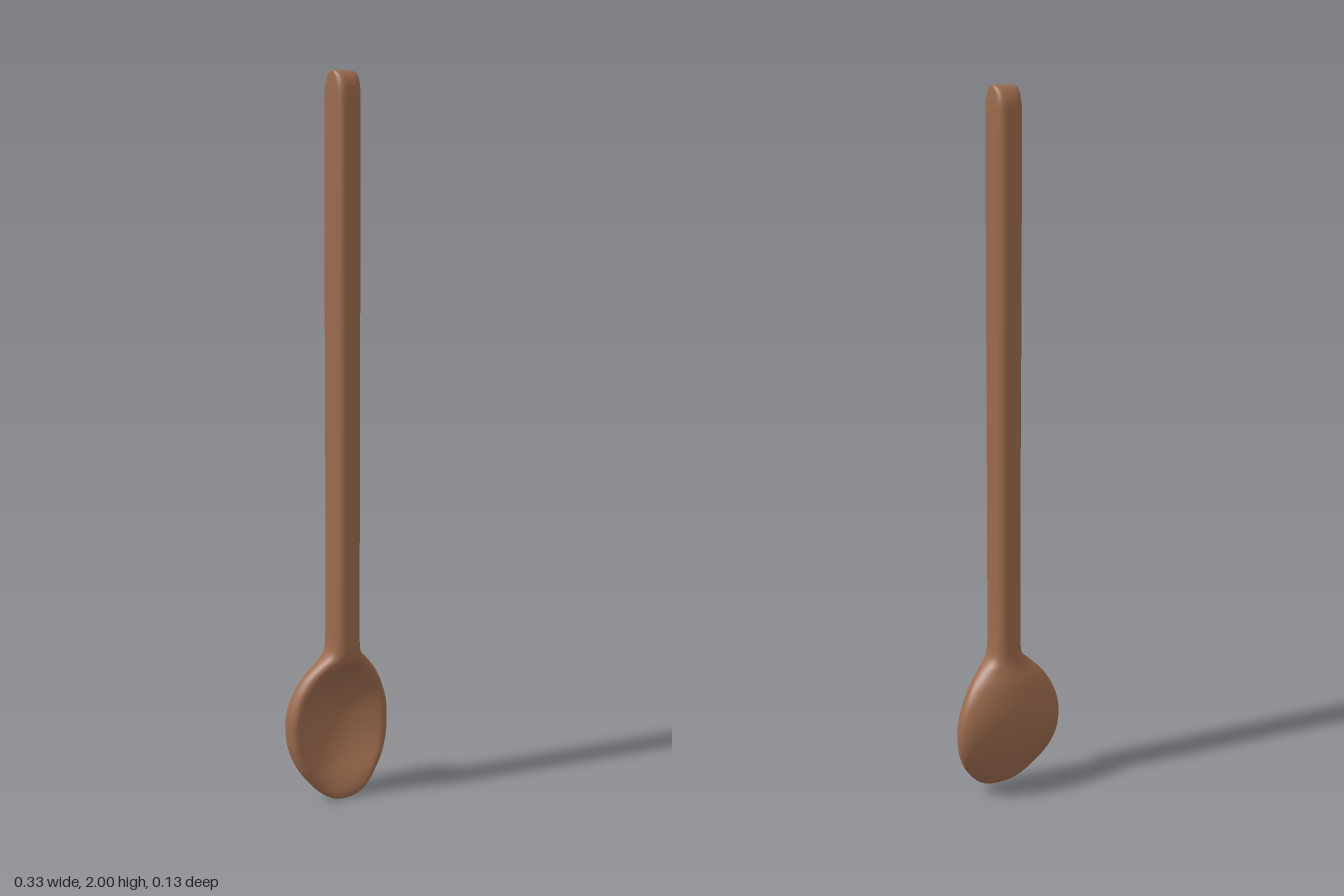
import * as THREE from 'three';

// Cross-section stations from tip to handle end:
// [y, half width, back z, front z, hollow depth, squareness]
const STATIONS = [
  [0.0, 0.022, 0.036, 0.043, 0, 2],
  [0.008, 0.05, 0.024, 0.047, 0.001, 2],
  [0.025, 0.078, 0.01, 0.049, 0.007, 2],
  [0.055, 0.108, -0.009, 0.046, 0.02, 2],
  [0.1, 0.14, -0.033, 0.038, 0.04, 2.1],
  [0.15, 0.159, -0.053, 0.032, 0.054, 2.2],
  [0.2, 0.165, -0.064, 0.03, 0.062, 2.2],
  [0.25, 0.162, -0.067, 0.03, 0.063, 2.2],
  [0.3, 0.147, -0.062, 0.031, 0.05, 2.1],
  [0.35, 0.119, -0.052, 0.042, 0.026, 2],
  [0.39, 0.082, -0.039, 0.058, 0.004, 2],
  [0.42, 0.052, -0.032, 0.065, 0, 2.3],
  [0.46, 0.042, -0.03, 0.066, 0, 2.8],
  [0.54, 0.039, -0.029, 0.066, 0, 3.3],
  [0.7, 0.038, -0.029, 0.066, 0, 3.5],
  [1.0, 0.038, -0.029, 0.066, 0, 3.5],
  [1.4, 0.038, -0.031, 0.066, 0, 3.5],
  [1.75, 0.038, -0.031, 0.066, 0, 3.5],
  [1.9, 0.038, -0.031, 0.066, 0, 3.5],
  [1.95, 0.038, -0.029, 0.064, 0, 3.5],
  [1.975, 0.037, -0.021, 0.057, 0, 3.5],
  [1.99, 0.036, -0.01, 0.046, 0, 3.5],
  [1.998, 0.034, 0.003, 0.033, 0, 3.5],
  [2.0, 0.031, 0.01, 0.026, 0, 3.5],
];
const AROUND = 64, STEPS = 5;

// Smooth blend of all station values at position s
function stationAt(s) {
  const last = STATIONS.length - 1;
  const i = Math.min(Math.floor(s), last - 1), t = s - i;
  const at = (k) => STATIONS[THREE.MathUtils.clamp(k, 0, last)];
  return at(i).map((b, n) => {
    const a = at(i - 1)[n], c = at(i + 1)[n], d = at(i + 2)[n];
    const m0 = (c - a) / 2, m1 = (d - b) / 2;
    return b + m0 * t + (3 * (c - b) - 2 * m0 - m1) * t * t + (2 * (b - c) + m0 + m1) * t * t * t;
  });
}

const power = (v, e) => Math.sign(v) * Math.pow(Math.abs(v), e);

// Lofted body: squarish on the handle, hollowed on the front of the bowl
function spoonGeometry() {
  const positions = [], index = [];
  const rings = (STATIONS.length - 1) * STEPS;
  for (let i = 0; i <= rings; i++) {
    const [y, w, back, front, hollow, n] = stationAt(i / STEPS);
    const mid = (back + front) / 2 + hollow * 0.1;
    for (let j = 0; j < AROUND; j++) {
      const a = (j / AROUND) * Math.PI * 2;
      const x = w * power(Math.cos(a), 2 / n);
      const side = power(Math.sin(a), 2 / n);
      let z = mid + side * (side > 0 ? front - mid : mid - back);
      if (side > 0) {
        // flat rim, then a rounded dip
        const r = Math.min(1, Math.abs(x) / (w * 0.93));
        const rim = mid + (front - mid) * Math.min(1, side * 1.6);
        z = THREE.MathUtils.lerp(z, rim, Math.min(1, hollow / 0.04));
        z -= hollow * Math.pow(1 - r * r, 1.2);
      }
      positions.push(x, y, z);
    }
  }
  for (let i = 0; i < rings; i++) {
    for (let j = 0; j < AROUND; j++) {
      const k = (j + 1) % AROUND;
      const a = i * AROUND + j, c = i * AROUND + k;
      index.push(a, a + AROUND, c, c, a + AROUND, c + AROUND);
    }
  }
  // End caps
  const top = rings * AROUND, tip = positions.length / 3;
  positions.push(0, 0, 0.04, 0, 2, 0.018);
  for (let j = 0; j < AROUND; j++) {
    const k = (j + 1) % AROUND;
    index.push(j, k, tip, top + j, tip + 1, top + k);
  }
  const geometry = new THREE.BufferGeometry();
  geometry.setAttribute('position', new THREE.Float32BufferAttribute(positions, 3));
  geometry.setIndex(index);
  geometry.computeVertexNormals();
  return geometry;
}

export function createModel() {
  const group = new THREE.Group();
  group.name = 'woodenSpoon';
  const wood = new THREE.MeshStandardMaterial({ color: 0x9b6a4d });
  const spoon = new THREE.Mesh(spoonGeometry(), wood);
  spoon.name = 'spoonBowlAndHandle';
  group.add(spoon);
  return group;
}
